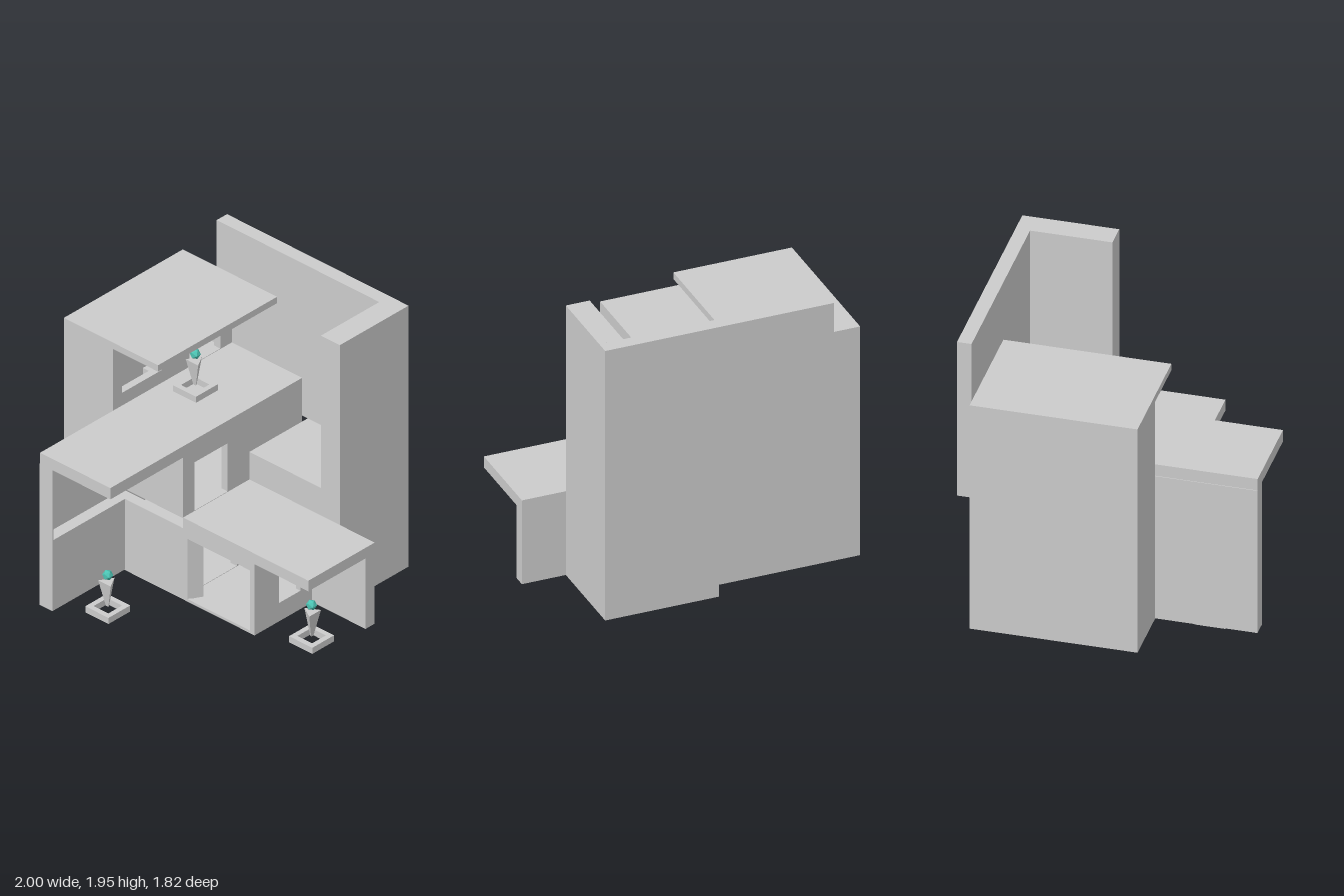
import * as THREE from 'three';

const grey = new THREE.MeshStandardMaterial({ color: 0xcccccc, flatShading: true });
const teal = new THREE.MeshStandardMaterial({ color: 0x4cc4b4, flatShading: true });

export function createModel() {
  const model = new THREE.Group();
  model.name = 'terracedHouse';

  const add = (name, geometry, parent = model, material = grey) => {
    const mesh = new THREE.Mesh(geometry, material);
    mesh.name = name;
    parent.add(mesh);
    return mesh;
  };

  // Box given by its limits on each axis
  const box = (name, x0, x1, y0, y1, z0, z1) =>
    add(name, new THREE.BoxGeometry(x1 - x0, y1 - y0, z1 - z0))
      .position.set((x0 + x1) / 2, (y0 + y1) / 2, (z0 + z1) / 2);

  const rect = (Type, a0, a1, b0, b1) => {
    const p = new Type();
    p.moveTo(a0, b0).lineTo(a1, b0).lineTo(a1, b1).lineTo(a0, b1).closePath();
    return p;
  };

  // Pierced wall in the xy plane; holes are [a0, a1, y0, y1]
  const pierced = (a0, a1, y0, y1, depth, holes) => {
    const shape = rect(THREE.Shape, a0, a1, y0, y1);
    shape.holes = holes.map(h => rect(THREE.Path, ...h));
    return new THREE.ExtrudeGeometry(shape, { depth, bevelEnabled: false });
  };

  // Pierced wall facing x; limits and holes are given along z
  const sideWall = (name, x0, x1, z0, z1, y0, y1, holes) => {
    const g = pierced(-z1, -z0, y0, y1, x1 - x0, holes.map(([a, b, c, d]) => [-b, -a, c, d]));
    g.rotateY(Math.PI / 2).translate(x0, 0, 0);
    add(name, g);
  };

  // Ground floor plates
  box('houseFloor', -1, -0.02, 0.095, 0.11, -0.77, 0.27);
  box('entranceFloor', -0.02, 0.56, 0.095, 0.11, -0.31, 0.27);

  // Stair wing
  box('stairWingOuterWall', -1, -0.93, 0.11, 1.62, -0.77, 0.27);
  box('stairWingFrontWall', -0.93, -0.6, 0.11, 1.62, 0.2, 0.27);
  box('stairWingBackWall', -0.93, -0.6, 0.11, 1.62, -0.77, -0.7);
  sideWall('stairWingInnerWall', -0.65, -0.6, -0.7, 0.2, 1.1, 1.62,
    [[-0.16, 0.19, 1.27, 1.515], [-0.67, -0.4, 1.183, 1.515]]);
  box('stairWingRoof', -1, -0.23, 1.62, 1.665, -0.77, 0.27);

  // Stairs climbing towards the back
  for (let i = 0; i < 8; i++) {
    const z = -0.07 - i * 0.055;
    box('stairStep', -0.93, -0.65, 0.675, 0.738 + i * 0.063, z - 0.055, z);
  }
  box('stairLanding', -0.93, -0.65, 1.1, 1.18, -0.7, -0.51);

  // Middle wing
  box('middleRoof', -0.6, -0.025, 1.1, 1.18, -0.77, 0.905);
  box('middleFloor', -0.93, -0.025, 0.6, 0.675, -0.7, 0.19);
  box('middleBackWall', -0.6, -0.025, 0.11, 1.1, -0.77, -0.7);
  box('middleFrontLowerWall', -0.6, -0.025, 0.11, 0.6, 0.2, 0.27);
  box('middleFrontUpperWall', -0.6, -0.025, 0.675, 1.1, 0.2, 0.27);
  sideWall('terraceDoorWall', -0.075, -0.025, -0.7, 0.2, 0.675, 1.1, [[-0.12, 0.17, 0.678, 1.02]]);
  sideWall('groundDoorWall', -0.075, -0.025, -0.7, 0.2, 0.11, 0.6, [[-0.2, 0.1, 0.113, 0.54]]);

  // Projecting wing wall with a slot at floor level
  box('wingWallSkin', -0.605, -0.585, 0.1, 1.1, 0.27, 0.905);
  box('wingWallLower', -0.585, -0.5, 0.1, 0.6, 0.27, 0.895);
  box('wingWallUpper', -0.585, -0.5, 0.675, 1.1, 0.27, 0.895);
  box('wingWallEnd', -0.585, -0.5, 0.1, 1.1, 0.895, 0.905);

  // Entrance room under the terrace
  box('terraceSlab', -0.025, 1, 0.6, 0.675, -0.31, 0.27);
  box('carportBackWall', 0.56, 1, 0.1, 0.6, -0.31, -0.23);
  sideWall('entranceSideWall', 0.525, 0.56, -0.31, 0.27, 0.11, 0.6, [[-0.13, 0.055, 0.225, 0.54]]);
  add('entranceFrontWall', pierced(-0.025, 0.525, 0.11, 0.6, 0.02, [[0.01, 0.522, 0.113, 0.54]]))
    .position.z = 0.25;
  // Splayed jambs beside the doorway
  for (const [xOuter, s] of [[0.01, 1], [0.525, -1]]) {
    const jamb = new THREE.Shape([
      new THREE.Vector2(xOuter, -0.268), new THREE.Vector2(xOuter + s * 0.05, -0.18),
      new THREE.Vector2(xOuter, -0.18),
    ]);
    const g = new THREE.ExtrudeGeometry(jamb, { depth: 0.43, bevelEnabled: false });
    g.rotateX(-Math.PI / 2).translate(0, 0.11, 0);
    g.scale(1, 1, 1);
    add('doorJamb', g);
  }

  // Rear tower and its tall corner screen
  box('towerBlock', -0.025, 0.56, 0.1, 0.87, -0.82, -0.31);
  box('towerSideScreen', 0.56, 0.715, 0.1, 1.95, -0.82, -0.31);
  box('towerBackWall', -0.025, 0.715, 0.1, 0.87, -0.91, -0.82);
  box('towerBackScreen', -0.77, 0.715, 0.87, 1.95, -0.91, -0.82);

  // Planters: square frame, three-sided tapering pot, faceted ball
  const frame = pierced(-0.095, 0.095, -0.095, 0.095, 0.043, [[-0.06, 0.06, -0.06, 0.06]]);
  frame.rotateX(-Math.PI / 2);
  const pot = new THREE.CylinderGeometry(0.059, 0.012, 0.172, 3);
  const ball = new THREE.IcosahedronGeometry(0.034, 0);
  const planters = [
    [-0.36, 0, 0.57, Math.PI], [0.755, 0, -0.02, -Math.PI / 2], [-0.393, 1.18, -0.23, Math.PI],
  ];
  for (const [x, y, z, turn] of planters) {
    const planter = new THREE.Group();
    planter.name = 'planter';
    planter.position.set(x, y, z);
    add('planterFrame', frame, planter);
    const body = add('planterPot', pot, planter);
    body.position.y = 0.129;
    body.rotation.y = turn;
    add('planterBall', ball, planter, teal).position.y = 0.262;
    model.add(planter);
  }

  return model;
}
